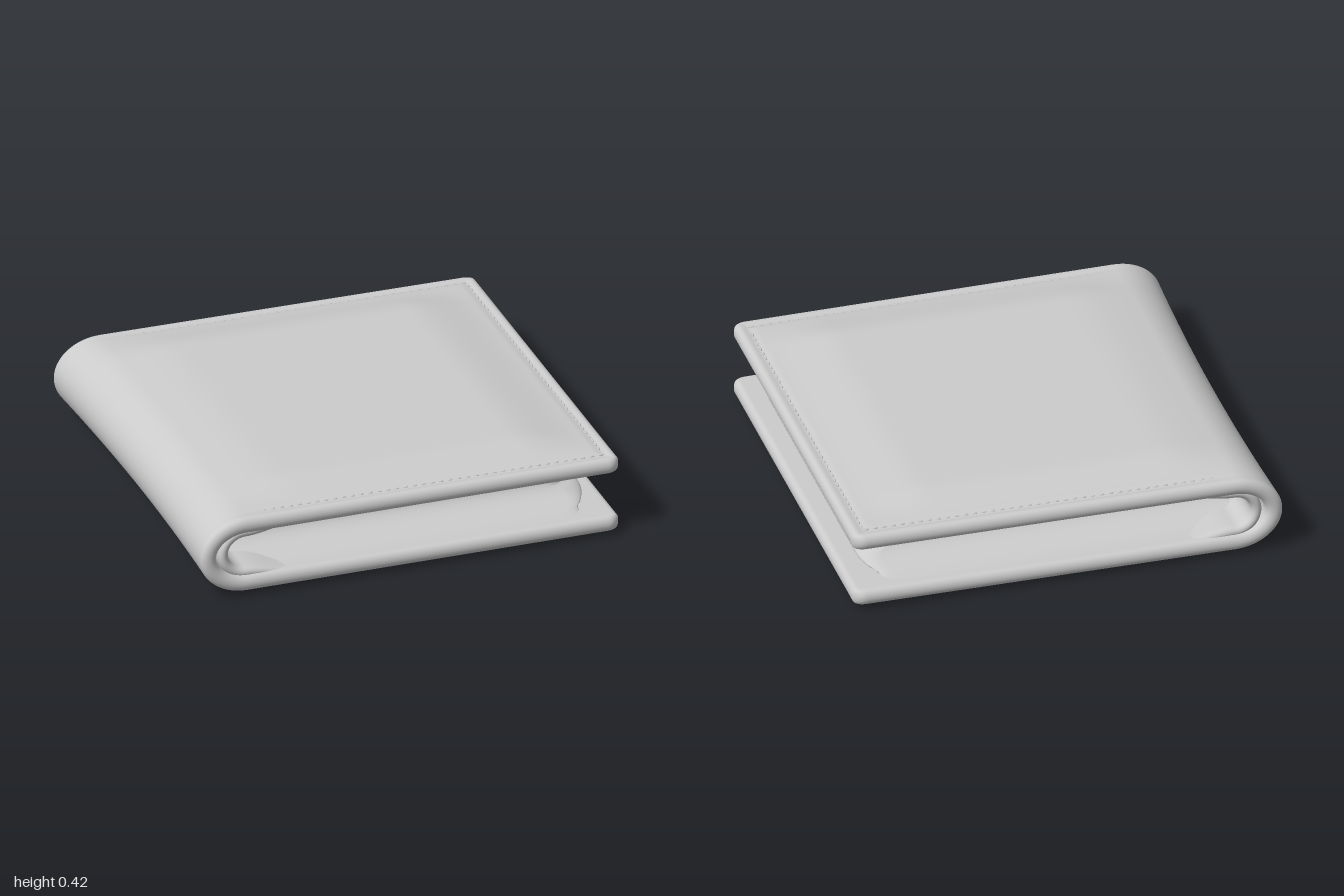
import * as THREE from 'three';
import { mergeGeometries, mergeVertices } from 'three/addons/utils/BufferGeometryUtils.js';

const MID = 0.207;      // height of the fold's centre
const FOLD_X = -0.78;   // where the flat flaps turn into the fold
const smooth = THREE.MathUtils.smoothstep;
const material = new THREE.MeshStandardMaterial({ color: 0xcccccc, side: THREE.DoubleSide });

// Surface from a rows x cols grid of points
function grid(rows, cols, point, flip = false) {
  const pos = [], index = [];
  for (let i = 0; i <= rows; i++)
    for (let j = 0; j <= cols; j++) pos.push(...point(i, j));
  for (let i = 0; i < rows; i++)
    for (let j = 0; j < cols; j++) {
      const a = i * (cols + 1) + j, b = a + cols + 1;
      if (flip) index.push(a, a + 1, b, b, a + 1, b + 1);
      else index.push(a, b, a + 1, b, b + 1, a + 1);
    }
  const g = new THREE.BufferGeometry();
  g.setAttribute('position', new THREE.Float32BufferAttribute(pos, 3));
  g.setIndex(index);
  return g;
}

function addMesh(group, name, geometry) {
  const mesh = new THREE.Mesh(geometry, material);
  mesh.name = name;
  group.add(mesh);
}

// Stations along a U-shaped midline: top flap, fold, bottom flap
function stations({ end, a, b, flare = 0 }) {
  const list = [], top = [], n = 60, turn = 28;
  for (let i = 0; i < n; i++) {
    const x = end - (end - FOLD_X) * (i / n) ** 2;
    top.push({ x, y: b + flare * smooth(x, FOLD_X, FOLD_X + 0.25), nx: 0, ny: 1, dx: end - x });
  }
  list.push(...top);
  for (let i = 0; i <= turn; i++) {
    const t = Math.PI / 2 + Math.PI * i / turn, c = Math.cos(t), s = Math.sin(t);
    const len = Math.hypot(c / a, s / b);
    list.push({ x: FOLD_X + a * c, y: b * s, nx: c / a / len, ny: s / b / len, dx: end - FOLD_X });
  }
  for (const p of top.reverse()) list.push({ ...p, y: -p.y, ny: -1 });
  return list;
}

// Point on the outer (side 1) or inner (side -1) face at fraction s across the width
function leatherPoint(p, s, side, { width, half, padded }) {
  const R = 0.06;
  const k = Math.max(0, 1 - p.dx / R);
  const w = width - 0.006 * (p.x + 1) - R * (1 - Math.sqrt(1 - k * k));
  const z = w * Math.sin(s * Math.PI / 2);
  const dz = w - Math.abs(z), d = Math.max(0, Math.min(dz, p.dx));
  const e = 1 - Math.min(d / 0.03, 1);
  let h = half * Math.sqrt(Math.max(0, 1 - e * e));
  if (padded && side > 0) {
    const flat = smooth(p.x, -0.95, -0.5);
    // stitched groove near the rim, then soft padding towards the middle
    h -= 0.006 * flat * Math.exp(-(((d - 0.06) / 0.016) ** 2));
    h += (p.ny > 0 ? 0.043 : 0.02) * flat * smooth(dz, 0.05, 0.32) * smooth(p.dx, 0.05, 0.42);
  }
  const pinch = 0.028 * (1 - (z / w) ** 2) * smooth(-p.x, 0.6, 1);
  return [p.x + p.nx * h * side + pinch, MID + p.y + p.ny * h * side, z];
}

// Closed, round-edged sheet of leather bent around the fold
function foldedSheet(opts) {
  const list = stations(opts), cols = 80;
  const face = side => grid(list.length - 1, cols,
    (i, j) => leatherPoint(list[i], j / cols * 2 - 1, side, opts), side < 0);
  const g = mergeVertices(mergeGeometries([face(1), face(-1)]), 1e-5);
  g.computeVertexNormals();
  return g;
}

// Inner pockets: two lips at the open edge, hollowed front and back ends
function pocketBlock() {
  const rows = 40, corner = 10, r = 0.1, left = -0.86;
  const g = grid(rows, corner * 2 + 3, (i, j) => {
    const t = i / rows * 2 - 1;
    const zr = 0.95 - 0.24 * Math.sqrt(Math.max(0, 1 - t * t));
    const lip = (Math.abs(t) - 0.66) / 0.3;
    const xr = 0.83 + 0.07 * Math.sqrt(Math.max(0, 1 - lip * lip));
    const y = MID + 0.108 * t;
    if (j === 0) return [left, y, -zr];
    if (j === corner * 2 + 3) return [left, y, zr];
    const second = j > corner + 1;
    const q = (second ? j - corner - 2 : j - 1) / corner * Math.PI / 2;
    return second
      ? [xr - r + r * Math.cos(q), y, zr - r + r * Math.sin(q)]
      : [xr - r + r * Math.sin(q), y, -zr + r - r * Math.cos(q)];
  });
  g.computeVertexNormals();
  return g;
}

// Rows of small thread stitches around three sides of one flap
function stitches(dir) {
  const parts = [], step = 0.042;
  const y = MID + dir * 0.176;
  const add = (x, z, along) => {
    const s = new THREE.SphereGeometry(1, 6, 4);
    s.scale(along ? 0.014 : 0.006, 0.006, along ? 0.006 : 0.014);
    s.translate(x, y, z);
    parts.push(s);
  };
  for (let x = -0.68; x < 0.92; x += step)
    for (const m of [-1, 1]) add(x, m * (0.919 - 0.006 * (x + 1)), true);
  for (let z = -0.88; z <= 0.88; z += step) add(0.93, z, false);
  return mergeGeometries(parts);
}

export function createModel() {
  const wallet = new THREE.Group();
  wallet.name = 'foldedWallet';
  addMesh(wallet, 'outerCover',
    foldedSheet({ end: 0.992, a: 0.1825, b: 0.143, width: 0.99, half: 0.0375, padded: true }));
  addMesh(wallet, 'foldLining',
    foldedSheet({ end: -0.4, a: 0.105, b: 0.1, flare: 0.035, width: 0.965, half: 0.025 }));
  addMesh(wallet, 'innerPockets', pocketBlock());
  addMesh(wallet, 'topStitching', stitches(1));
  addMesh(wallet, 'bottomStitching', stitches(-1));
  return wallet;
}
